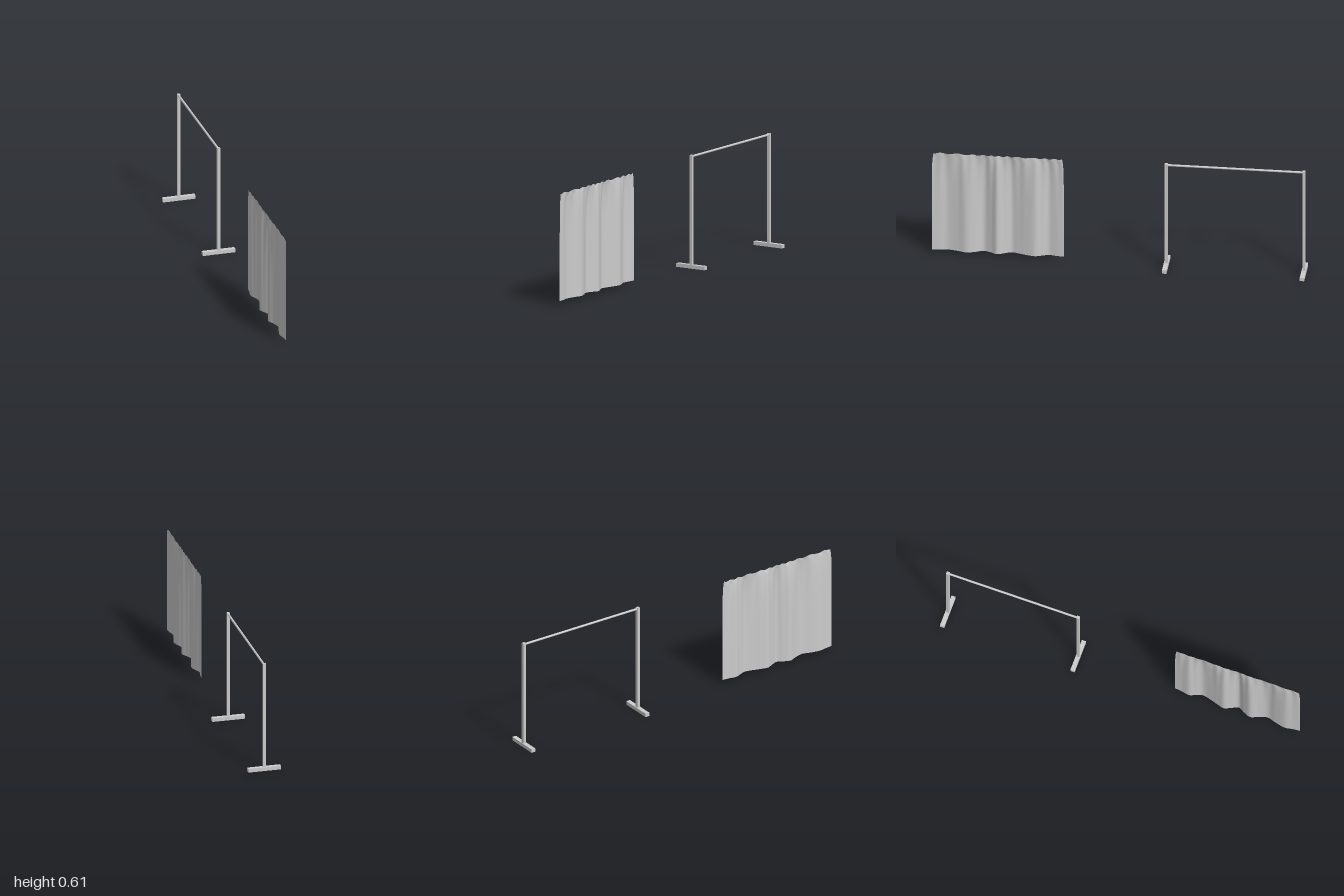
import * as THREE from 'three';

export function createModel() {
  const model = new THREE.Group();
  const metal = new THREE.MeshStandardMaterial({ color: 0xcccccc });
  metal.name = 'light grey';
  metal.side = THREE.DoubleSide;

  const add = (name, geometry, x, y, z, parent = model) => {
    const mesh = new THREE.Mesh(geometry, metal);
    mesh.name = name;
    mesh.position.set(x, y, z);
    parent.add(mesh);
    return mesh;
  };

  // Stand: two square posts on flat feet, joined by a thin rod
  const stand = new THREE.Group();
  stand.name = 'stand';
  model.add(stand);
  const ends = [['front', -0.252], ['back', -0.988]];
  for (const [side, z] of ends) {
    add(side + 'Foot', new THREE.BoxGeometry(0.18, 0.02, 0.024), 0, 0.01, z, stand);
    add(side + 'Post', new THREE.BoxGeometry(0.016, 0.592, 0.016), 0, 0.316, z, stand);
  }
  const rod = new THREE.CylinderGeometry(0.006, 0.006, 0.736, 12).rotateX(Math.PI / 2);
  add('rod', rod, 0, 0.604, -0.62, stand);

  // Curtain folds: sideways offset along the hem, as (z, x)
  const hem = new THREE.SplineCurve([
    [0.295, 0], [0.33, -0.003], [0.375, -0.011], [0.41, 0.001], [0.45, 0.013],
    [0.5, 0.002], [0.54, -0.01], [0.575, -0.018], [0.61, -0.004], [0.65, 0.013],
    [0.685, -0.004], [0.725, -0.017], [0.77, 0.001], [0.815, 0.012],
    [0.86, 0], [0.915, -0.011], [0.96, -0.004], [1, 0],
  ].map(([z, x]) => new THREE.Vector2(z, x)));

  // Curtain cloth: folds fade out and the sides draw in towards the top edge
  const columns = 160, rows = 36;
  const cloth = new THREE.PlaneGeometry(1, 1, columns, rows);
  const pos = cloth.attributes.position;
  const p = new THREE.Vector2();
  for (let i = 0; i < pos.count; i++) {
    const u = 0.5 - pos.getX(i);
    const down = Math.pow(0.5 - pos.getY(i), 1.6);
    hem.getPoint(u, p);
    const swell = 0.1 + 0.9 * (1 - Math.exp(-down * 8));
    const pleat = 0.0025 * Math.sin(u * 88 + Math.sin(u * 9)) * Math.exp(-down * 4) * Math.min(1, down * 25);
    const pull = 1 - 0.028 * Math.exp(-down * 14);
    const scallop = 0.003 * (Math.cos(u * 75 + 2 * Math.sin(u * 11)) - 1) * Math.exp(-down * 40);
    pos.setXYZ(i, p.y * swell + pleat, 0.605 - 0.583 * down + scallop, 0.6475 + (p.x - 0.6475) * pull);
  }
  cloth.computeVertexNormals();
  add('curtain', cloth, 0, 0, 0);

  return model;
}
